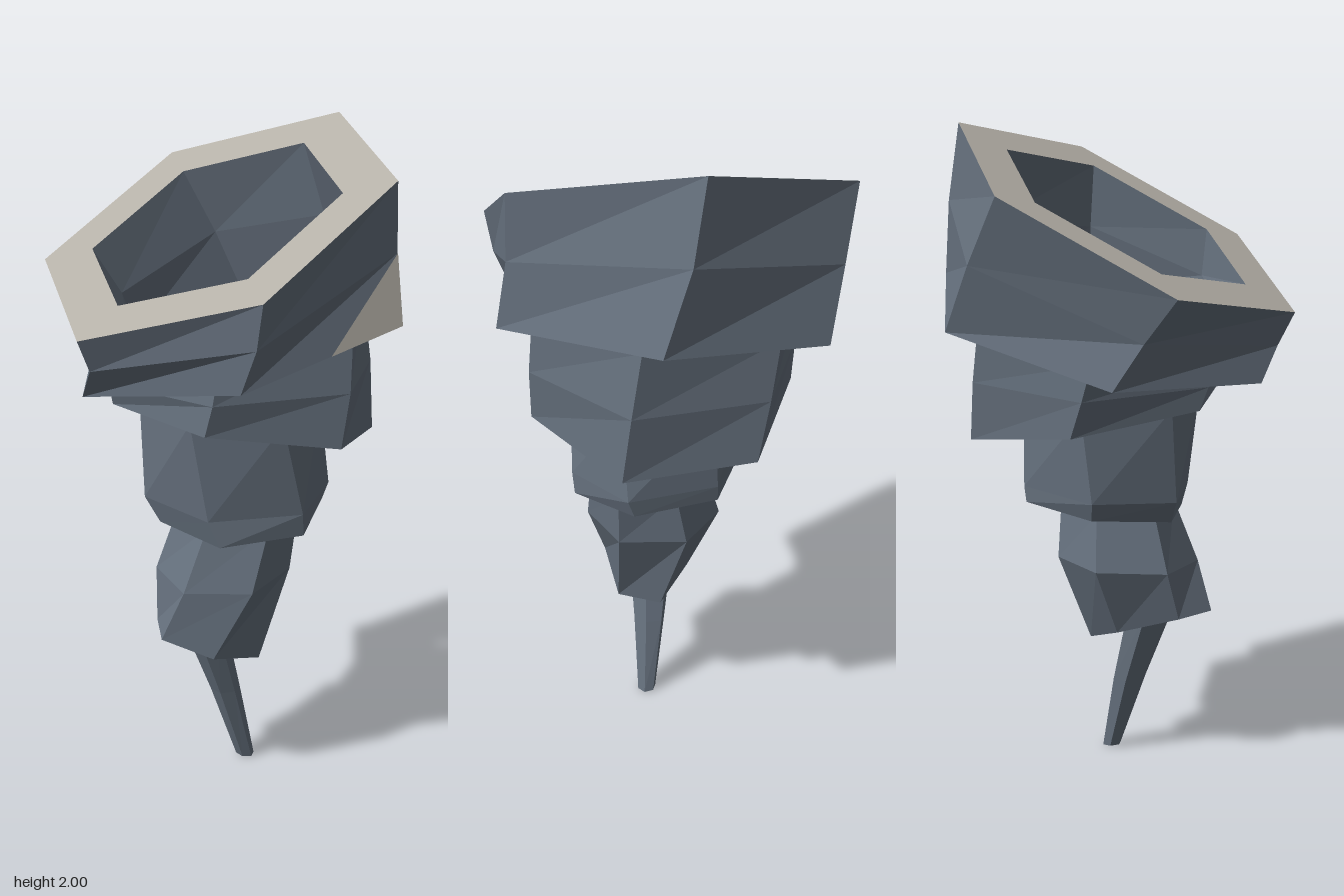
import * as THREE from 'three';

const slate = new THREE.MeshStandardMaterial({ color: 0x66717e, flatShading: true });
slate.name = 'slate';
const bone = new THREE.MeshStandardMaterial({ color: 0xb5b0a7, flatShading: true });
bone.name = 'pale stone';

const V = (x, y, z) => new THREE.Vector3(x, y, z);

// Skewed hexagon: a centre plus two neighbouring corner offsets, the rest follow by symmetry
function hexagon([cx, cy, cz, ux, uy, uz, vx, vy, vz], scale = 1) {
  const c = V(cx, cy, cz), u = V(ux, uy, uz), v = V(vx, vy, vz);
  const w = v.clone().sub(u);
  return [u, v, w, u.clone().negate(), v.clone().negate(), w.clone().negate()]
    .map(p => p.multiplyScalar(scale).add(c));
}

function meshOf(name, points, material) {
  const geometry = new THREE.BufferGeometry().setFromPoints(points);
  geometry.computeVertexNormals();
  const mesh = new THREE.Mesh(geometry, material);
  mesh.name = name;
  return mesh;
}

// Triangles between two hexagons
function strip(a, b) {
  const out = [];
  for (let i = 0; i < 6; i++) {
    const j = (i + 1) % 6;
    out.push(a[i], a[j], b[j], a[i], b[j], b[i]);
  }
  return out;
}

// Hollow twisted segment; hole is the inner size as a share of the outer (0 = solid)
function segment(name, rings, hole) {
  const group = new THREE.Group();
  group.name = name;
  const outer = rings.map(r => hexagon(r));
  const inner = rings.map(r => hexagon(r, hole));
  const walls = [];
  const last = rings.length - 1;
  for (let k = 0; k < last; k++) {
    walls.push(...strip(outer[k], outer[k + 1]));
    if (hole > 0) walls.push(...strip(inner[k + 1], inner[k]));
  }
  walls.push(...strip(outer[last], inner[last]));
  group.add(meshOf(name + 'Walls', walls, slate));
  group.add(meshOf(name + 'Rim', strip(inner[0], outer[0]), bone));
  return group;
}

// Rings of each segment, top to bottom
const mouth = [
  [-0.015, 1.73, 0.045, 0.555, 0.16, 0.065, 0.275, -0.11, 0.495],
  [0.03, 1.56, 0.015, 0.515, 0.125, 0.1, 0.21, -0.075, 0.515],
  [0.055, 1.39, -0.015, 0.515, 0.09, 0.155, 0.135, -0.04, 0.525],
];
const collar = [
  [0.04, 1.4, -0.02, 0.39, 0.04, 0.17, 0.05, -0.03, 0.4],
  [0.055, 1.26, -0.02, 0.375, 0.015, 0.19, 0.02, 0.01, 0.405],
  [0.065, 1.12, -0.02, 0.345, -0.01, 0.21, -0.015, 0.055, 0.4],
];
const waist = [
  [0.03, 1.17, 0.02, 0.21, 0, 0.18, -0.05, 0.01, 0.27],
  [0.05, 0.89, 0.01, 0.24, -0.01, 0.14, -0.02, -0.015, 0.265],
  [0.065, 0.825, 0.01, 0.225, -0.015, 0.13, 0, -0.03, 0.26],
];
const neck = [
  [0.06, 0.83, 0.05, 0.13, 0, 0.12, -0.05, 0, 0.17],
  [0.02, 0.65, 0.07, 0.135, -0.01, 0.16, -0.065, -0.01, 0.21],
  [-0.01, 0.435, 0.135, 0.055, -0.005, 0.135, -0.1, 0.055, 0.165],
];
const tip = [
  [-0.03, 0.5, 0.13, 0.06, 0, 0.045, 0, 0, 0.08],
  [0.03, 0.25, 0.08, 0.04, 0, 0.03, 0, 0, 0.055],
  [0.085, 0.004, 0.04, 0.025, -0.003, 0.015, 0, 0, 0.03],
];

export function createModel() {
  const model = new THREE.Group();
  model.name = 'twistedHorn';
  model.add(segment('mouth', mouth, 0.71));
  model.add(segment('collar', collar, 0.71));
  model.add(segment('waist', waist, 0.71));
  model.add(segment('neck', neck, 0.68));
  model.add(segment('tip', tip, 0));

  // Pale patch on the outside of the mouth
  const middle = hexagon(mouth[1]), base = hexagon(mouth[2]);
  const corners = [middle[0], base[0].clone().lerp(base[1], 0.45), base[0]];
  const normal = new THREE.Triangle(...corners).getNormal(V(0, 0, 0));
  model.add(meshOf('patch', corners.map(p => p.clone().addScaledVector(normal, 0.003)), bone));
  return model;
}
